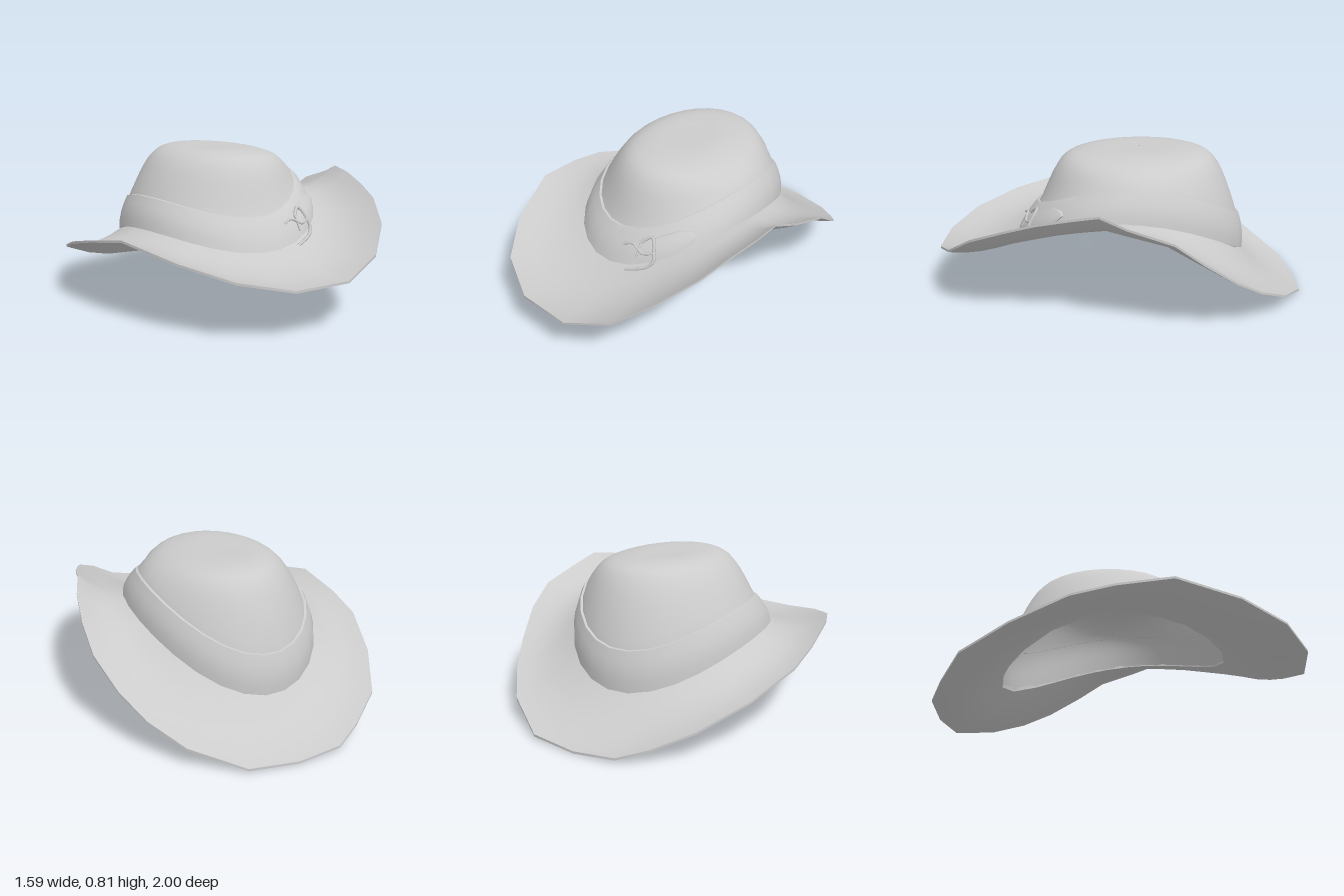
import * as THREE from 'three';
import { toCreasedNormals } from 'three/addons/utils/BufferGeometryUtils.js';

const V = (x, y, z) => new THREE.Vector3(x, y, z);
const material = new THREE.MeshStandardMaterial({ color: 0xcccccc, side: THREE.DoubleSide });
const SIDES = 28;

// Tilted saddle-shaped ovals: y = a + b cos + c sin + d cos2
const oval = ({ cx = 0, cz, rx, rz, a, b = 0, c = 0, d = 0 }, t, grow = 0, lift = 0) => V(
  cx + (rx + grow) * Math.cos(t),
  a + b * Math.cos(t) + c * Math.sin(t) + d * Math.cos(2 * t) + lift,
  cz + (rz + grow) * Math.sin(t));
const BASE = { cz: -0.055, rx: 0.495, rz: 0.615, a: 0.37, b: 0.065, c: 0.065, d: 0.095 };
const BAND_TOP = { cz: -0.095, rx: 0.43, rz: 0.548, a: 0.54, b: 0.06, c: 0.04, d: 0.08 };
const SHOULDER = { cx: 0.02, cz: -0.09, rx: 0.325, rz: 0.41, a: 0.75, b: 0.005 };
const TOP_RIM = { cx: 0.0, cz: -0.1, rx: 0.21, rz: 0.3, a: 0.797 };
const TOP_MID = { cz: -0.1, rx: 0.002, rz: 0.002, a: 0.803 };

// Point on the band surface: t is the angle, v runs from lower to upper edge
const onBand = (t, v, out = 0) => {
  const p = oval(BASE, t, 0.01 + out).lerp(oval(BAND_TOP, t, 0.01 + out), v);
  const bulge = 0.05 * v * (1 - v);
  return p.add(V(Math.cos(t) * bulge, 0, Math.sin(t) * bulge));
};

// Skin over rows of points; optionally joined around and/or last row to first
function loft(rows, { around = true, section = false, crease = 0.7 } = {}) {
  const n = rows[0].length, m = rows.length, index = [];
  for (let i = 0; i < (section ? m : m - 1); i++) {
    for (let j = 0; j < (around ? n : n - 1); j++) {
      const i2 = (i + 1) % m, j2 = (j + 1) % n;
      const a = i * n + j, b = i2 * n + j, c = i * n + j2, d = i2 * n + j2;
      index.push(a, b, c, c, b, d);
    }
  }
  const g = new THREE.BufferGeometry().setFromPoints(rows.flat());
  g.setIndex(index);
  return toCreasedNormals(g, crease);
}

const angles = Array.from({ length: SIDES }, (_, i) => (i / SIDES) * Math.PI * 2);

// Brim edge, walked from the left side round the front
const EDGE = [
  [0.76, 0.61, 0.02], [0.72, 0.66, 0.15], [0.70, 0.64, 0.28], [0.65, 0.60, 0.45],
  [0.60, 0.55, 0.60], [0.48, 0.46, 0.79], [0.32, 0.345, 0.92], [0.08, 0.27, 1.0],
  [-0.22, 0.265, 0.98], [-0.46, 0.31, 0.85], [-0.63, 0.37, 0.62], [-0.75, 0.43, 0.30],
  [-0.79, 0.38, 0.02], [-0.795, 0.33, -0.2], [-0.71, 0.24, -0.5], [-0.57, 0.155, -0.77],
  [-0.4, 0.075, -0.9], [-0.26, 0.03, -0.98], [-0.03, 0.012, -1.0], [0.23, 0.025, -0.98],
  [0.48, 0.11, -0.83], [0.62, 0.2, -0.67], [0.71, 0.3, -0.52], [0.78, 0.43, -0.35],
  [0.79, 0.54, -0.2],
];

function brim() {
  const row = (s, drop) => EDGE.map(([x, y, z]) => {
    const t = Math.atan2((z - BASE.cz) / BASE.rz, x / BASE.rx);
    const p = oval(BASE, t).lerp(V(x, y, z), s);
    p.y -= 0.14 * s * (1 - s) + drop;
    return p;
  });
  const steps = [0, 0.2, 0.4, 0.6, 0.8, 1];
  const under = steps.map((s) => row(s, 0.022 - 0.01 * s));
  const over = [...steps].reverse().map((s) => row(s, 0));
  return loft([...under, ...over], { section: true });
}

// Crown: a smooth curve through the ovals at every angle
function crown() {
  const columns = angles.map((t) => new THREE.CatmullRomCurve3([
    oval(BASE, t, 0, -0.015), oval(BAND_TOP, t), oval(SHOULDER, t), oval(TOP_RIM, t), oval(TOP_MID, t),
  ], false, 'centripetal').getPoints(24));
  return loft(columns[0].map((_, i) => columns.map((c) => c[i])), { crease: 1.2 });
}

function band() {
  const row = (v, out) => angles.map((t) => onBand(t, v, out));
  const rows = [row(0, -0.012), ...[0, 0.25, 0.5, 0.75, 1].map((v) => row(v, 0.002)), row(1.01, -0.012)];
  return loft(rows);
}

// Pointed strap end lying on the band
function strapEnd() {
  const n = 14, rows = [];
  const profile = [[-1, -0.01], [-1, 0.012], [-0.5, 0.015], [0, 0.016], [0.5, 0.015], [1, 0.012], [1, -0.01]];
  for (const [side, out] of profile) {
    const line = [];
    for (let i = 0; i <= n; i++) {
      const s = i / n, t = THREE.MathUtils.degToRad(40 + 32 * s);
      const half = 0.33 * Math.sqrt(Math.min(1, s / 0.35));
      line.push(onBand(t, 0.42 + side * half, out));
    }
    rows.push(line);
  }
  return loft(rows, { around: false });
}

// Wire on the band from [degrees, height] pairs
const wire = (points, radius, out) => new THREE.TubeGeometry(
  new THREE.CatmullRomCurve3(points.map(([deg, v]) => onBand(THREE.MathUtils.degToRad(deg), v, out)),
    false, 'centripetal'), 28, radius, 6);

export function createModel() {
  const hat = new THREE.Group();
  hat.name = 'hat';
  const add = (name, geometry, parent = hat) => {
    const mesh = new THREE.Mesh(geometry, material);
    mesh.name = name;
    parent.add(mesh);
  };
  add('brim', brim());
  add('crown', crown());
  add('band', band());
  add('strapEnd', strapEnd());

  const buckle = new THREE.Group();
  buckle.name = 'buckle';
  add('buckleFrame', wire([[78, -0.08], [70, -0.07], [65.5, -0.04], [62.5, 0.1], [63, 0.35],
    [64, 0.65], [66, 0.82], [69, 0.8], [72, 0.72]], 0.009, 0.02), buckle);
  add('bucklePin', wire([[83, 0.68], [77, 0.7], [73, 0.55], [70, 0.42], [63, 0.36]], 0.007, 0.022), buckle);
  add('buckleBar', wire([[72, 0.72], [72.5, 0.5], [73, 0.25]], 0.007, 0.018), buckle);
  hat.add(buckle);
  return hat;
}
